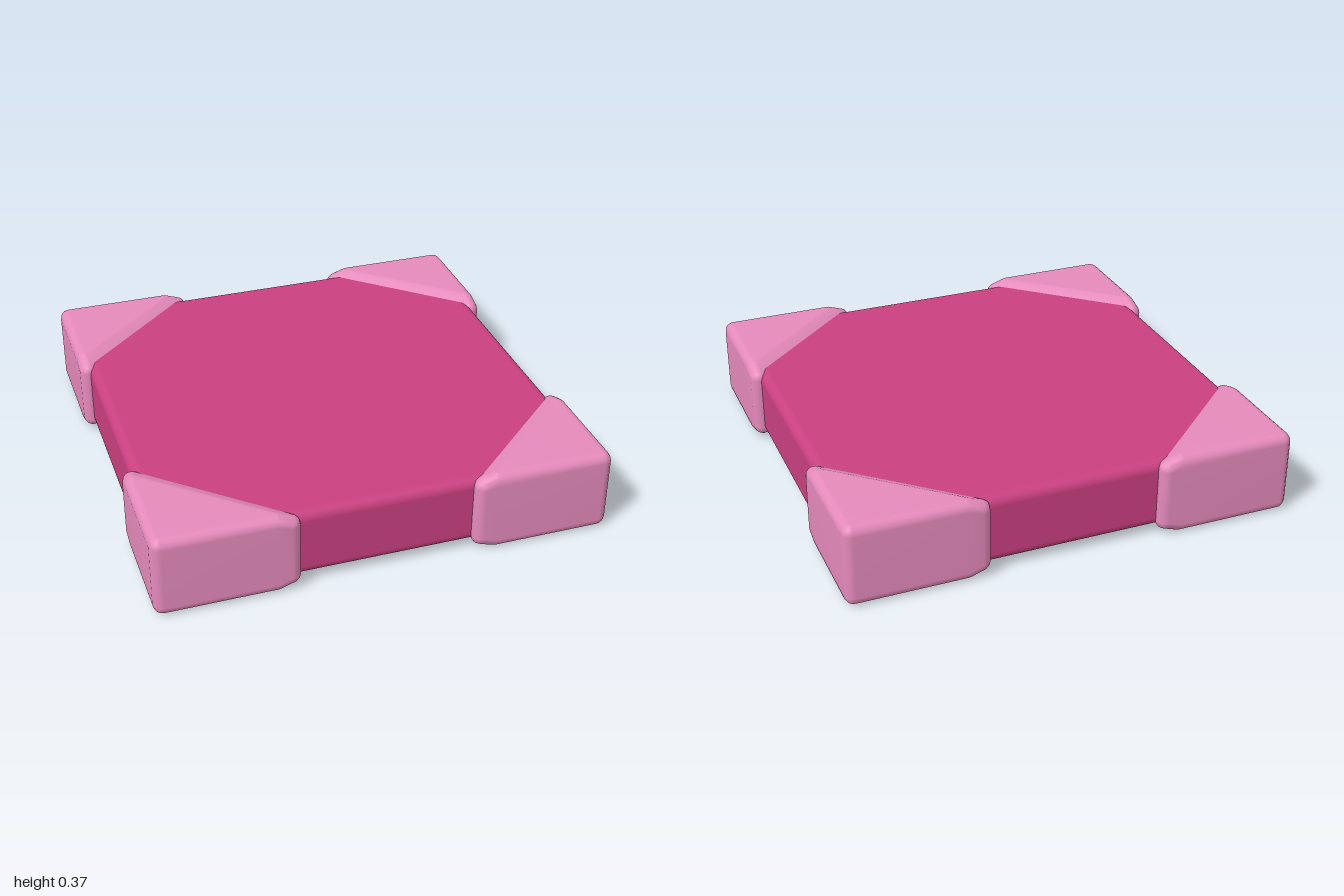
import * as THREE from 'three';
import { mergeVertices } from 'three/addons/utils/BufferGeometryUtils.js';
import { RoundedBoxGeometry } from 'three/addons/geometries/RoundedBoxGeometry.js';
import { ConvexGeometry } from 'three/addons/geometries/ConvexGeometry.js';

const HEIGHT = 0.372;
const R = 0.042; // rounding radius of the corner guards

// Rounded triangular guard: the hull around small balls at its corners
function cornerGeometry(sx, sz) {
  const ball = new THREE.SphereGeometry(R, 12, 8).getAttribute('position');
  const points = [];
  const addBalls = (x, z, drop) => {
    for (const y of [R + drop, HEIGHT - R - drop]) {
      for (let i = 0; i < ball.count; i++) {
        points.push(new THREE.Vector3(
          sx * (x + ball.getX(i)), y + ball.getY(i), sz * (z + ball.getZ(i))));
      }
    }
  };
  addBalls(1 - R, 1 - R, 0); // outer corner
  addBalls(0.42, 1 - R, 0.02); // thin tips, slightly lower
  addBalls(1 - R, 0.47, 0.02);
  addBalls(0.48, 1 - R, 0); // shoulders behind the tips
  addBalls(1 - R, 0.53, 0);

  const hull = new ConvexGeometry(points);
  hull.deleteAttribute('normal');
  const geometry = mergeVertices(hull, 1e-4);
  geometry.computeVertexNormals();
  return geometry;
}

export function createModel() {
  const group = new THREE.Group();
  group.name = 'corneredTile';

  const slabPink = new THREE.MeshStandardMaterial({ color: 0xc94080 });
  slabPink.name = 'deep pink';
  const guardPink = new THREE.MeshStandardMaterial({ color: 0xe58abb });
  guardPink.name = 'light pink';

  // Square slab
  const slab = new THREE.Mesh(new RoundedBoxGeometry(1.916, 0.315, 1.916, 4, 0.045), slabPink);
  slab.name = 'slab';
  slab.position.y = 0.19;
  group.add(slab);

  // Four corner guards
  for (const [sx, sideName] of [[1, 'Left'], [-1, 'Right']]) {
    for (const [sz, endName] of [[1, 'front'], [-1, 'back']]) {
      const guard = new THREE.Mesh(cornerGeometry(sx, sz), guardPink);
      guard.name = `${endName}${sideName}CornerGuard`;
      group.add(guard);
    }
  }
  return group;
}
